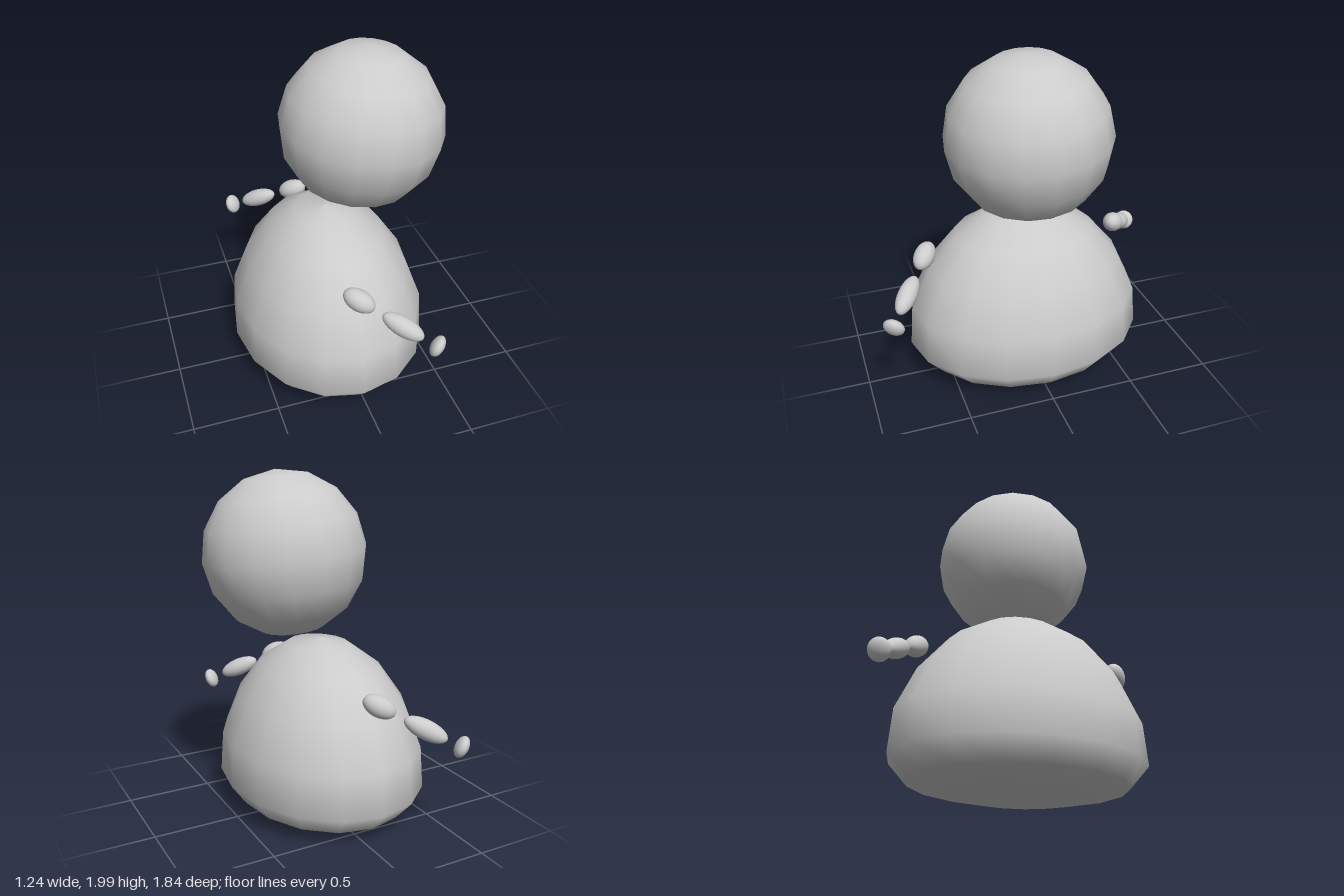
import * as THREE from 'three';

const material = new THREE.MeshStandardMaterial({ color: 0xcccccc });

function part(name, geometry, parent) {
  const mesh = new THREE.Mesh(geometry, material);
  mesh.name = name;
  parent.add(mesh);
  return mesh;
}

// One arm: three loose ellipsoid beads stretched or flattened along the arm's direction
function makeArm(name) {
  const arm = new THREE.Group();
  arm.name = name;
  const direction = new THREE.Vector3(0.73, -0.42, 0.54).normalize();
  const beads = [
    // name, centre, half length along arm, radius across
    ['upperArm', [0.015, 0.79, 0.605], 0.095, 0.06],
    ['forearm', [0.215, 0.673, 0.752], 0.127, 0.055],
    ['hand', [0.372, 0.585, 0.863], 0.036, 0.062],
  ];
  for (const [beadName, centre, half, radius] of beads) {
    const bead = part(beadName, new THREE.SphereGeometry(1, 24, 16), arm);
    bead.position.set(...centre);
    bead.scale.set(radius, half, radius);
    bead.quaternion.setFromUnitVectors(new THREE.Vector3(0, 1, 0), direction);
  }
  return arm;
}

export function createModel() {
  const model = new THREE.Group();
  model.name = 'figure';

  // Body: flat-bottomed dome, wider along z
  const profile = [
    [0, 0.005], [0.275, 0.025], [0.49, 0.08], [0.576, 0.2], [0.56, 0.44],
    [0.47, 0.68], [0.335, 0.88], [0.172, 1.0], [0, 1.035],
  ].map(([r, y]) => new THREE.Vector2(r, y));
  const body = part('body', new THREE.LatheGeometry(profile, 16), model);
  body.position.x = -0.048;
  body.scale.z = 1.25;

  // Head: coarse sphere, slightly tilted and floating above the body
  const head = part('head', new THREE.SphereGeometry(0.465, 16, 8), model);
  head.position.set(0.155, 1.537, 0.037);
  head.rotation.set(0.06, 0, -0.09);

  // Arms: the back one is the front one turned half way round
  const arms = [makeArm('leftArm'), makeArm('rightArm')];
  arms[1].rotation.y = Math.PI;
  for (const arm of arms) {
    arm.position.x = -0.065;
    model.add(arm);
  }

  return model;
}
